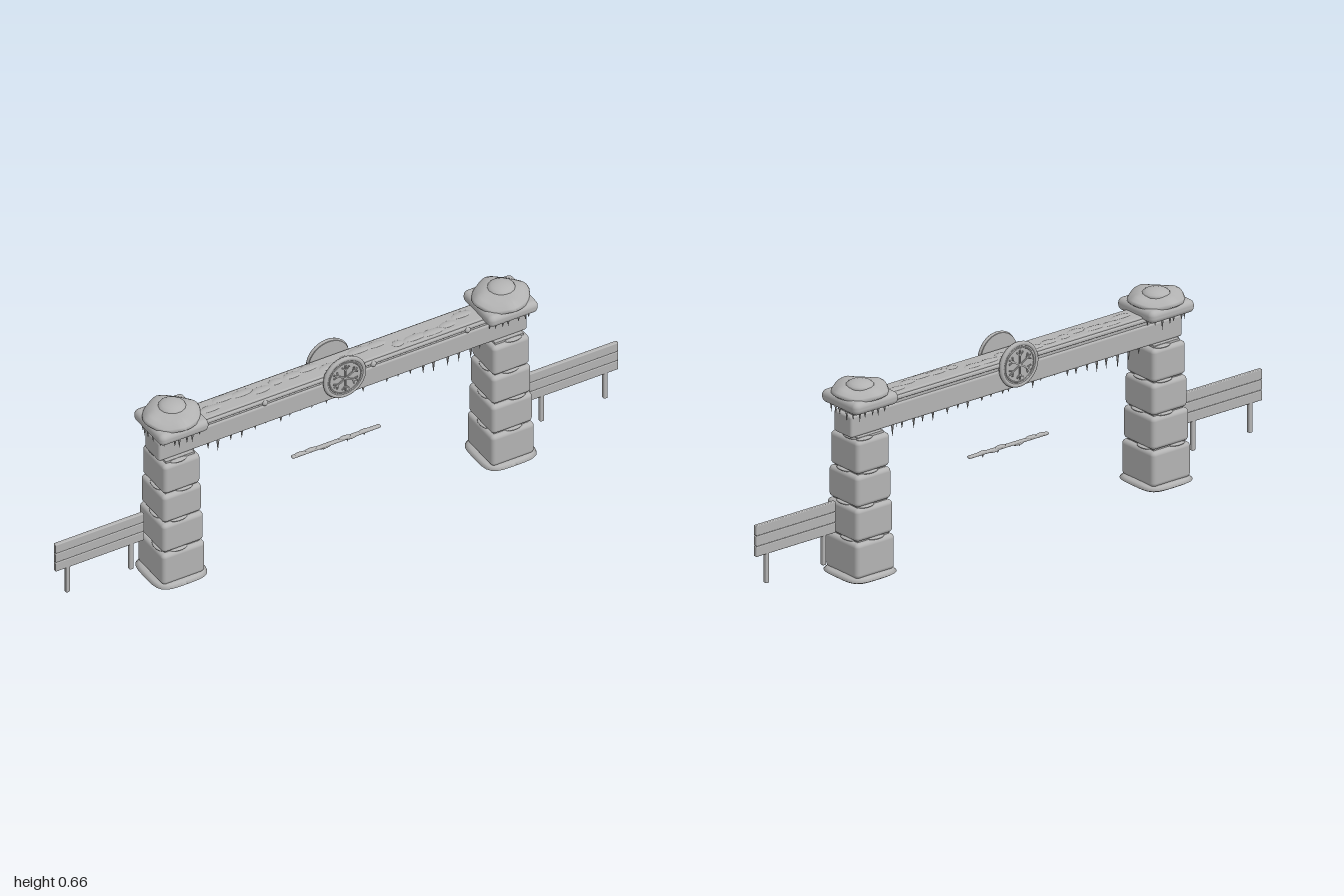
import * as THREE from 'three';
import { RoundedBoxGeometry } from 'three/addons/geometries/RoundedBoxGeometry.js';

const stone = new THREE.MeshStandardMaterial({ color: 0xb3b3b3 });
stone.name = 'pale grey';
stone.side = THREE.DoubleSide;

let seed = 7;
const rand = (a, b) => {
  seed = (seed * 16807) % 2147483647;
  return a + (b - a) * (seed / 2147483647);
};

function add(parent, name, geometry, x = 0, y = 0, z = 0) {
  const mesh = new THREE.Mesh(geometry, stone);
  mesh.name = name;
  mesh.position.set(x, y, z);
  parent.add(mesh);
  return mesh;
}
function group(parent, name, x = 0, y = 0, z = 0) {
  const g = new THREE.Group();
  g.name = name;
  g.position.set(x, y, z);
  parent.add(g);
  return g;
}
const rounded = (w, h, d, r = 0.012) => new RoundedBoxGeometry(w, h, d, 3, r);

// Lathe whose vertices are reshaped by a rule of angle: returns [radius factor, y offset]
function moulded(profile, rule) {
  const geo = new THREE.LatheGeometry(profile.map(p => new THREE.Vector2(...p)), 40);
  const pos = geo.attributes.position;
  for (let i = 0; i < pos.count; i++) {
    const x = pos.getX(i), y = pos.getY(i), z = pos.getZ(i);
    const [k, dy] = rule(Math.atan2(z, x), Math.hypot(x, z));
    pos.setXYZ(i, x * k, y + dy, z * k);
  }
  geo.computeVertexNormals();
  return geo;
}
const squarish = a => Math.pow(Math.cos(a) ** 4 + Math.sin(a) ** 4, -0.25);

// Hanging ice spike with its root at y
function icicle(parent, x, y, z, length, radius) {
  const spike = add(parent, 'icicle', new THREE.ConeGeometry(radius, length, 6), x, y - length / 2, z);
  spike.rotation.x = Math.PI;
}

// Flattened lump of snow
function lump(parent, x, y, z, sx, sy, sz) {
  add(parent, 'snowLump', new THREE.SphereGeometry(1, 14, 8), x, y, z).scale.set(sx, sy, sz);
}

function pillar(parent, x) {
  const p = group(parent, x > 0 ? 'leftPillar' : 'rightPillar', x);

  // Snow drift at the foot
  add(p, 'footSnow', moulded(
    [[0, 0], [0.04, 0.003], [0.07, 0.01], [0.088, 0.019], [0.097, 0.025], [0.088, 0.034], [0.075, 0.038], [0, 0.04]],
    a => [squarish(a) * 0.98, 0]));

  // Tapering blocks: bottom, top, width, depth
  const blocks = [
    [0.033, 0.15, 0.153, 0.158], [0.154, 0.262, 0.146, 0.149],
    [0.266, 0.37, 0.139, 0.142], [0.374, 0.484, 0.131, 0.136]];
  blocks.forEach(([y0, y1, w, d], i) => {
    add(p, 'block', rounded(w, y1 - y0, d, 0.014), 0, (y0 + y1) / 2);
    add(p, 'mortar', new THREE.BoxGeometry(w - 0.03, 0.014, d - 0.03), 0, y1);
    // Snow caught in the joint
    for (const s of [-1, 1]) {
      lump(p, rand(-0.03, 0.03), y1 + 0.001, s * (d / 2 - 0.014), 0.03, 0.005, 0.014);
      lump(p, s * (w / 2 - 0.014), y1 + 0.001, rand(-0.03, 0.03), 0.014, 0.005, 0.03);
    }
  });

  // Capstone with snow and a small dome on top
  add(p, 'capstone', rounded(0.176, 0.042, 0.174, 0.018), 0, 0.599);
  add(p, 'capSnow', moulded(
    [[0.07, 0.606], [0.084, 0.612], [0.092, 0.619], [0.087, 0.628], [0.072, 0.638], [0.05, 0.645], [0, 0.647]],
    (a, r) => [1 + 0.025 * Math.cos(4 * a) + 0.015 * Math.cos(8 * a), r > 0.065 ? 0.004 * Math.cos(4 * a) : 0]));
  lump(p, 0.008, 0.642, -0.01, 0.045, 0.018, 0.045);

  // Ice hanging from the capstone
  for (let i = 0; i < 22; i++) {
    const a = i / 22 * Math.PI * 2 + rand(-0.1, 0.1);
    const r = Math.min(0.079 * squarish(a), 0.088);
    icicle(p, Math.cos(a) * r, 0.585, Math.sin(a) * r, rand(0.018, 0.038), 0.0045);
  }
}

// Round badge with a six-armed star
function medallion(parent, side) {
  const m = group(parent, side > 0 ? 'frontMedallion' : 'backMedallion', 0, 0.57, side * 0.052);
  if (side < 0) m.rotation.y = Math.PI;
  const disc = add(m, 'disc', new THREE.CylinderGeometry(0.072, 0.072, 0.014, 40), 0, 0, -0.002);
  disc.rotation.x = Math.PI / 2;
  add(m, 'rim', new THREE.TorusGeometry(0.068, 0.0075, 8, 48));
  add(m, 'innerRim', new THREE.TorusGeometry(0.056, 0.0025, 6, 40), 0, 0, 0.005);
  for (let i = 0; i < 6; i++) {
    const arm = group(m, 'starArm');
    arm.rotation.z = i * Math.PI / 3;
    add(arm, 'spoke', new THREE.BoxGeometry(0.005, 0.048, 0.005), 0, 0.024, 0.006);
    for (const s of [-1, 1]) {
      const barb = add(arm, 'barb', new THREE.BoxGeometry(0.004, 0.018, 0.005), s * 0.006, 0.036, 0.006);
      barb.rotation.z = -s * 0.8;
    }
  }
}

function beam(parent) {
  const b = group(parent, 'beam');
  add(b, 'lintel', rounded(1.31, 0.072, 0.086, 0.008), 0, 0.526);
  add(b, 'lintelTop', new THREE.BoxGeometry(1.28, 0.03, 0.076), 0, 0.572);
  for (const s of [-1, 1]) {
    add(b, 'rail', rounded(1.25, 0.012, 0.014, 0.004), 0, 0.58, s * 0.041);
  }
  // Snow along the top
  add(b, 'topSnow', rounded(1.2, 0.012, 0.08, 0.005), 0, 0.587);
  for (let i = 0; i < 16; i++) {
    lump(b, -0.45 + i * 0.06, 0.591, rand(-0.02, 0.02), rand(0.02, 0.045), 0.006, 0.016);
  }
  for (const x of [-0.28, 0.105, 0.44]) {
    lump(b, x, 0.576, 0.047, 0.01, 0.01, 0.008);
  }
  // Ice fringe, longer towards the pillars
  for (let i = 0; i < 48; i++) {
    const x = -0.5 + i / 47 + rand(-0.008, 0.008);
    const length = rand(0.014, 0.03) + (Math.abs(x) > 0.28 ? rand(0, 0.03) : 0);
    icicle(b, x, 0.494, (i % 2 ? 1 : -1) * rand(0.022, 0.036), length, 0.0055);
  }
  medallion(b, 1);
  medallion(b, -1);
}

// Plank panel on two posts
function fence(parent, x) {
  const f = group(parent, x > 0 ? 'leftFence' : 'rightFence', x);
  for (let i = 0; i < 3; i++) {
    add(f, 'plank', rounded(0.315, 0.0335, 0.014, 0.003), 0, 0.1925 + i * 0.035);
  }
  add(f, 'backing', new THREE.BoxGeometry(0.305, 0.1, 0.008), 0, 0.2275);
  for (const s of [-1, 1]) {
    add(f, 'post', rounded(0.014, 0.11, 0.014, 0.003), s * 0.113, 0.134);
  }
}

// Thin uneven bar hanging in the opening
function hangingBar(parent) {
  const h = group(parent, 'hangingBar', 0, 0.285);
  add(h, 'bar', rounded(0.315, 0.009, 0.014, 0.004));
  for (const [x, y] of [[-0.13, 0.002], [-0.09, 0.003], [-0.04, -0.004], [0.03, 0.003], [0.055, -0.003], [0.1, 0.002]]) {
    lump(h, x, y, 0, 0.022, 0.006, 0.008);
  }
  for (const x of [-0.045, 0.04, 0.1]) icicle(h, x, -0.002, 0, 0.014, 0.005);
}

export function createModel() {
  seed = 7;
  const model = new THREE.Group();
  model.name = 'winterGateway';
  for (const s of [-1, 1]) {
    pillar(model, s * 0.585);
    fence(model, s * 0.8425);
  }
  beam(model);
  hangingBar(model);
  return model;
}
